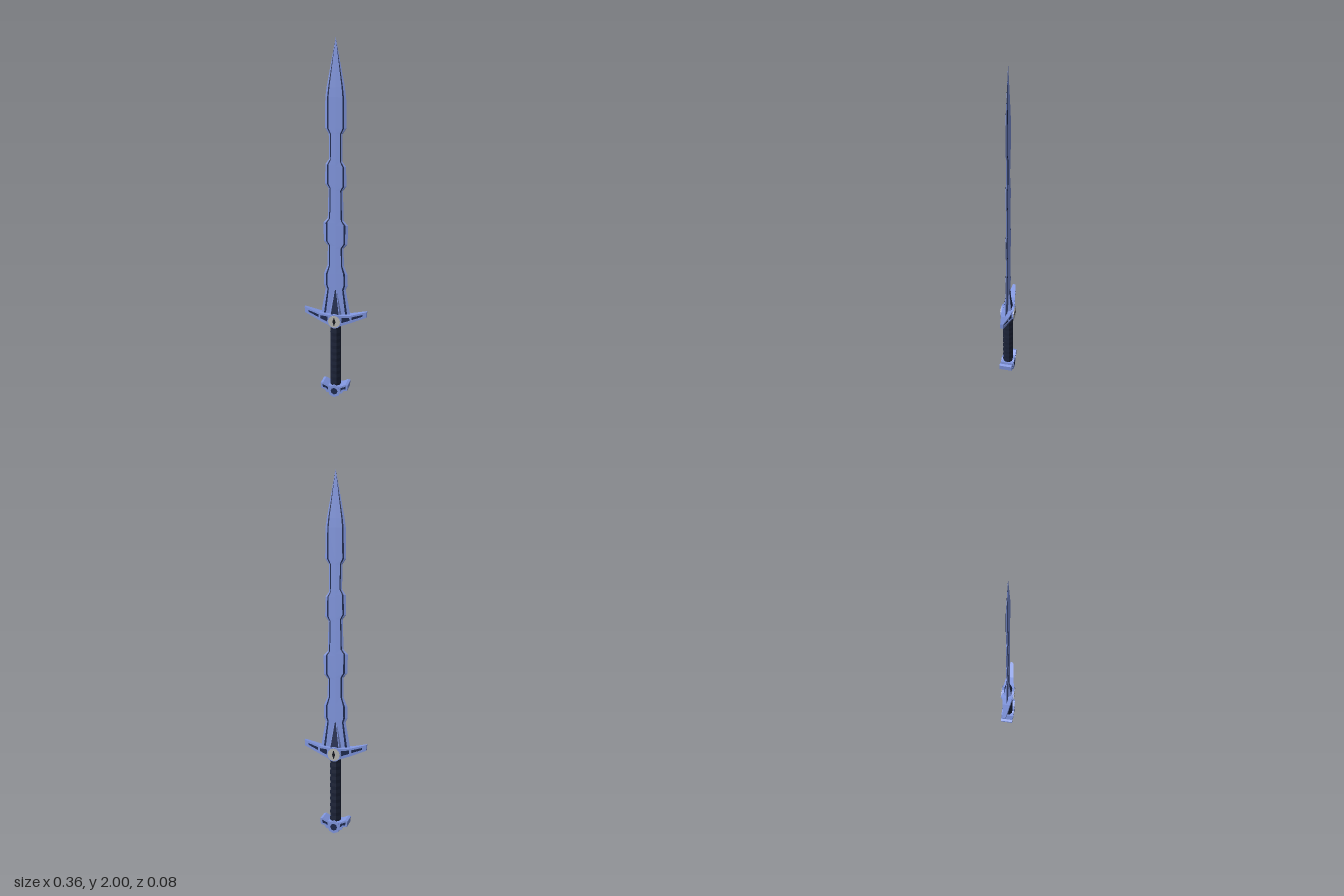
import * as THREE from 'three';

const mat = (color) => new THREE.MeshStandardMaterial({ color, flatShading: true, side: THREE.DoubleSide });

export function createModel() {
  const sword = new THREE.Group();
  const light = mat(0x8298e2), dark = mat(0x1f2b50), gripMat = mat(0x1c2338), grey = mat(0xb8b8b4), black = mat(0x15171f);

  const add = (parent, name, geometry, material) => {
    const mesh = new THREE.Mesh(geometry, material);
    mesh.name = name;
    parent.add(mesh);
    return mesh;
  };
  const group = (name) => {
    const g = new THREE.Group();
    g.name = name;
    sword.add(g);
    return g;
  };
  const shapeOf = (pts, holes = []) => {
    const s = new THREE.Shape(pts.map((p) => new THREE.Vector2(...p)));
    s.holes = holes.map((h) => new THREE.Path(h.map((p) => new THREE.Vector2(...p))));
    return s;
  };
  // Slab centred on z = 0 whose half depth is a function of x
  const slab = (shape, halfDepth) => {
    const g = new THREE.ExtrudeGeometry(shape, { depth: 2, bevelEnabled: false }).translate(0, 0, -1);
    const p = g.attributes.position;
    for (let i = 0; i < p.count; i++) p.setZ(i, p.getZ(i) * halfDepth(p.getX(i)));
    g.computeVertexNormals();
    return g;
  };

  // Blade: half width by height, with stepped lobes
  const rows = [
    [0.47, 0.088], [0.5, 0.084], [0.645, 0.058], [0.67, 0.069], [0.735, 0.067], [0.785, 0.046],
    [0.885, 0.045], [0.91, 0.067], [1.015, 0.069], [1.04, 0.045], [1.205, 0.04], [1.23, 0.059],
    [1.335, 0.057], [1.365, 0.036], [1.51, 0.038], [1.54, 0.058], [1.7, 0.056], [1.75, 0.049], [2, 0],
  ];
  // Strip of the blade between two fractions of its width, on all four quarters
  const bladeStrip = (f0, z0, f1, z1) => {
    const v = [];
    for (const sx of [1, -1]) for (const sz of [1, -1]) {
      const at = (i, f, z) => {
        const [y, w] = rows[i];
        const shift = sx < 0 && y > 0.8 && y < 1.4 ? 0.012 : 0;
        const taper = y > 1.7 ? w / 0.056 : 1;
        return [sx * w * f, y + shift, sz * z * taper];
      };
      for (let i = 0; i < rows.length - 1; i++) {
        const a = at(i, f0, z0), b = at(i, f1, z1), c = at(i + 1, f1, z1), d = at(i + 1, f0, z0);
        if (sx * sz > 0) v.push(...a, ...b, ...c, ...a, ...c, ...d);
        else v.push(...a, ...c, ...b, ...a, ...d, ...c);
      }
    }
    const g = new THREE.BufferGeometry();
    g.setAttribute('position', new THREE.Float32BufferAttribute(v, 3));
    g.computeVertexNormals();
    return g;
  };
  const blade = group('blade');
  add(blade, 'bladeCore', bladeStrip(0, 0.007, 0.66, 0.006), light);
  add(blade, 'bladeGroove', bladeStrip(0.66, 0.006, 0.8, 0.004), dark);
  add(blade, 'bladeEdge', bladeStrip(0.8, 0.004, 1, 0), light);

  // Pointed spike over the root of the blade, with dark panels
  const spike = group('bladeSpike');
  const spikeBase = [[0.042, 0], [0.03, 0.025], [-0.03, 0.025], [-0.042, 0], [-0.03, -0.025], [0.03, -0.025]];
  const sv = [];
  spikeBase.forEach(([x, z], i) => {
    const [x2, z2] = spikeBase[(i + 1) % 6];
    sv.push(x2, 0.48, z2, x, 0.48, z, 0, 0.69, 0);
  });
  const spikeGeo = new THREE.BufferGeometry();
  spikeGeo.setAttribute('position', new THREE.Float32BufferAttribute(sv, 3));
  spikeGeo.computeVertexNormals();
  add(spike, 'spikeBody', spikeGeo, light);
  for (const s of [1, -1]) {
    const g = new THREE.BufferGeometry();
    g.setAttribute('position', new THREE.Float32BufferAttribute(
      [-0.026 * s, 0.48, 0.0262 * s, 0.026 * s, 0.48, 0.0262 * s, 0, 0.66, 0.0048 * s], 3));
    g.computeVertexNormals();
    add(spike, 'spikePanel', g, dark);
  }

  // Guard: framed wings tapering to the tips, turned half round for the other side
  const guard = group('guard');
  const wing = [[0, 0.44], [0.03, 0.437], [0.085, 0.457], [0.177, 0.494], [0.18, 0.528], [0.09, 0.503], [0.045, 0.5], [0, 0.5]];
  const wells = [
    [[0.04, 0.456], [0.085, 0.472], [0.083, 0.491], [0.04, 0.489]],
    [[0.096, 0.476], [0.155, 0.498], [0.156, 0.51], [0.096, 0.494]],
  ];
  const guardDepth = (x) => 0.037 - 0.16 * x;
  for (const turn of [0, Math.PI]) {
    const side = new THREE.Group();
    side.name = 'guardWing';
    side.rotation.y = turn;
    guard.add(side);
    add(side, 'guardFrame', slab(shapeOf(wing, wells), guardDepth), light);
    wells.forEach((w) => add(side, 'guardPanel', slab(shapeOf(w), (x) => guardDepth(x) - 0.003), dark));
  }

  // Eye-like boss through the guard: blue collar, grey disc, dark slit
  const disc = (r, half, sides) => new THREE.CylinderGeometry(r, r, half * 2, sides).rotateX(Math.PI / 2);
  const boss = group('guardBoss');
  add(boss, 'bossCollar', disc(0.041, 0.038, 12), light);
  add(boss, 'bossDisc', disc(0.035, 0.041, 12), grey);
  add(boss, 'bossSlit', slab(shapeOf([[0, -0.026], [0.009, 0], [0, 0.026], [-0.009, 0]]), () => 0.042), black);
  boss.position.y = 0.465;

  // Grip with shallow wrapped ridges
  const profile = [];
  for (let i = 0; i <= 20; i++) profile.push(new THREE.Vector2(i % 2 ? 0.0315 : 0.03, 0.06 + i * 0.0195));
  add(sword, 'grip', new THREE.LatheGeometry(profile, 8).rotateY(Math.PI / 8), gripMat);

  // Pommel: two framed wings and an octagonal hub
  const pommel = group('pommel');
  const lobe = [[0, 0.02], [0.045, 0.026], [0.055, 0.043], [0.076, 0.046], [0.08, 0.08], [0.066, 0.084], [0.035, 0.068], [0, 0.068]];
  const lobeWell = [[0.036, 0.038], [0.048, 0.05], [0.067, 0.054], [0.069, 0.073], [0.038, 0.06]];
  for (const turn of [0, Math.PI]) {
    const side = new THREE.Group();
    side.name = 'pommelWing';
    side.rotation.y = turn;
    pommel.add(side);
    add(side, 'pommelFrame', slab(shapeOf(lobe, [lobeWell]), () => 0.038), light);
    add(side, 'pommelPanel', slab(shapeOf(lobeWell), () => 0.035), dark);
  }
  add(pommel, 'pommelHub', disc(0.037, 0.04, 8), light).position.y = 0.037;
  add(pommel, 'pommelInset', disc(0.02, 0.041, 8), dark).position.y = 0.037;

  return sword;
}
